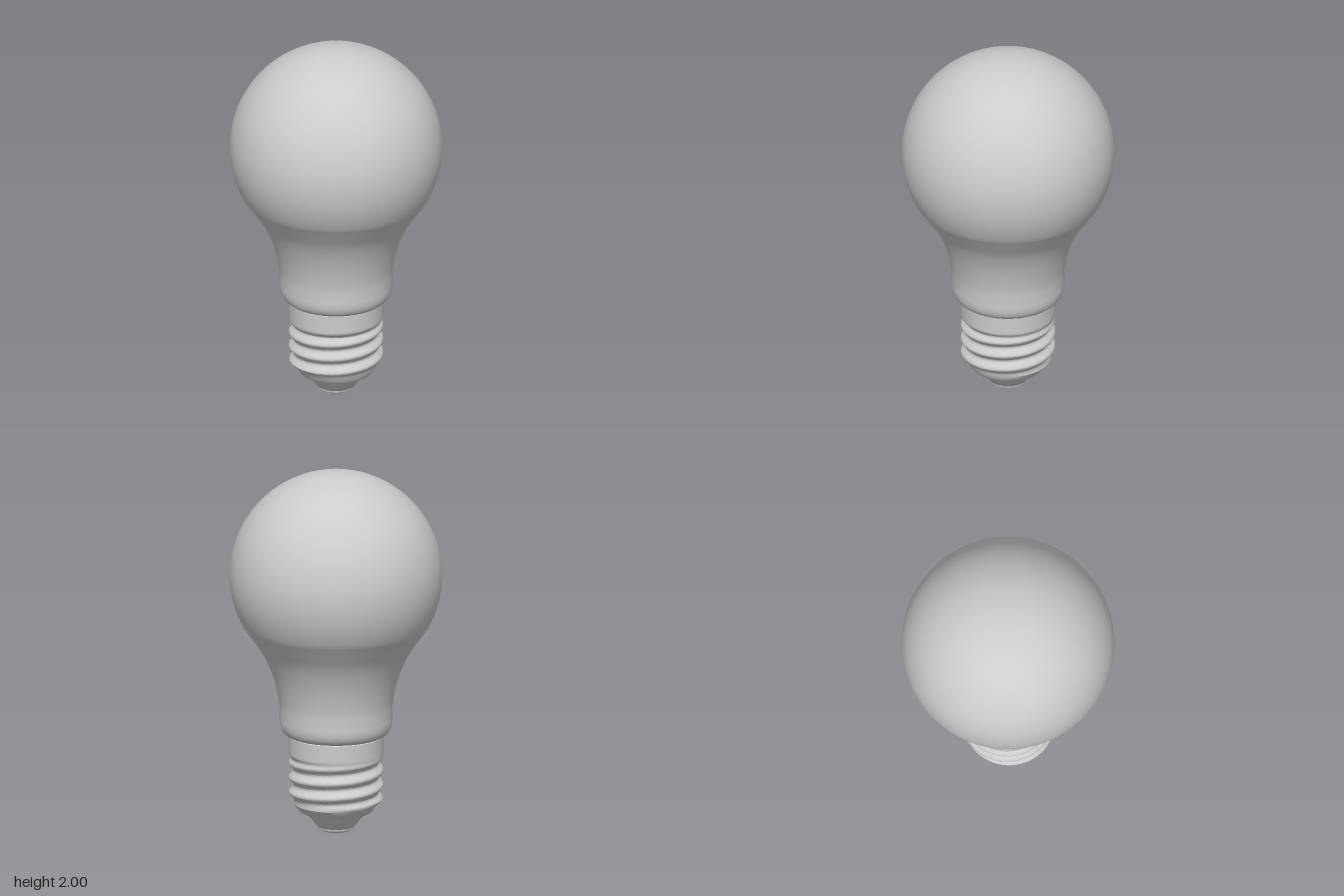
import * as THREE from 'three';
import { toCreasedNormals } from 'three/addons/utils/BufferGeometryUtils.js';

const SEGMENTS = 96;
const material = new THREE.MeshStandardMaterial({ color: 0xcccccc });
const v = (r, y) => new THREE.Vector2(r, y);

// Turned part from a bottom-to-top profile; an optional rule reshapes the radius.
function turned(name, profile, radiusRule) {
  const geometry = new THREE.LatheGeometry(profile, SEGMENTS);
  if (radiusRule) {
    const p = geometry.attributes.position;
    for (let i = 0; i < p.count; i++) {
      const x = p.getX(i), y = p.getY(i), z = p.getZ(i);
      const r = Math.hypot(x, z);
      const k = radiusRule(r, y, Math.atan2(-z, x)) / r;
      p.setXYZ(i, x * k, y, z * k);
    }
  }
  const mesh = new THREE.Mesh(toCreasedNormals(geometry, 0.6), material);
  mesh.name = name;
  return mesh;
}

// Glass: rounded lower lip, flared neck, spherical top
function glassBulb() {
  const R = 0.572, cy = 1.428;
  const lip = new THREE.SplineCurve([
    v(0.25, 0.545), v(0.27, 0.55), v(0.291, 0.572), v(0.302, 0.61), v(0.303, 0.66),
    v(0.307, 0.73), v(0.325, 0.82), v(0.354, 0.91), v(0.396, 1.0), v(0.45, 1.08), v(0.499, 1.148),
  ]).getPoints(50);
  const start = Math.asin((1.148 - cy) / R);
  const dome = [];
  for (let i = 1; i <= 48; i++) {
    const a = start + (Math.PI / 2 - start) * (i / 48);
    dome.push(v(i === 48 ? 0 : R * Math.cos(a), cy + R * Math.sin(a)));
  }
  return turned('glassBulb', [v(0, 0.545), ...lip, ...dome]);
}

// Screw cap: straight collar above a rolled right-hand thread and a tapering foot
function screwCap() {
  const pitch = 0.082, depth = 0.027;
  const profile = [v(0.15, 0.118), v(0.188, 0.118), v(0.198, 0.124), v(0.215, 0.144), v(0.234, 0.166)];
  for (let i = 0; i <= 70; i++) profile.push(v(i < 3 ? 0.245 + i * 0.004 : 0.255, 0.18 + (0.36 * i) / 70));
  profile.push(v(0.245, 0.55));
  return turned('screwCap', profile, (r, y, angle) => {
    const fade = THREE.MathUtils.smoothstep(y, 0.125, 0.2) * (1 - THREE.MathUtils.smoothstep(y, 0.40, 0.445));
    const turn = (y - 0.31) / pitch - angle / (2 * Math.PI);
    return r - depth * fade * (0.5 - 0.5 * Math.cos(2 * Math.PI * turn));
  });
}

export function createModel() {
  const bulb = new THREE.Group();
  bulb.name = 'lightBulb';
  bulb.add(
    glassBulb(),
    screwCap(),
    // Cone between the cap and the contact
    turned('insulator', [v(0, 0.034), v(0.095, 0.034), v(0.104, 0.04), v(0.16, 0.112), v(0.16, 0.122)]),
    // Shallow domed button at the foot
    turned('contact', [v(0, 0), v(0.03, 0.002), v(0.06, 0.008), v(0.082, 0.016), v(0.096, 0.026), v(0.098, 0.036)]),
  );
  return bulb;
}
